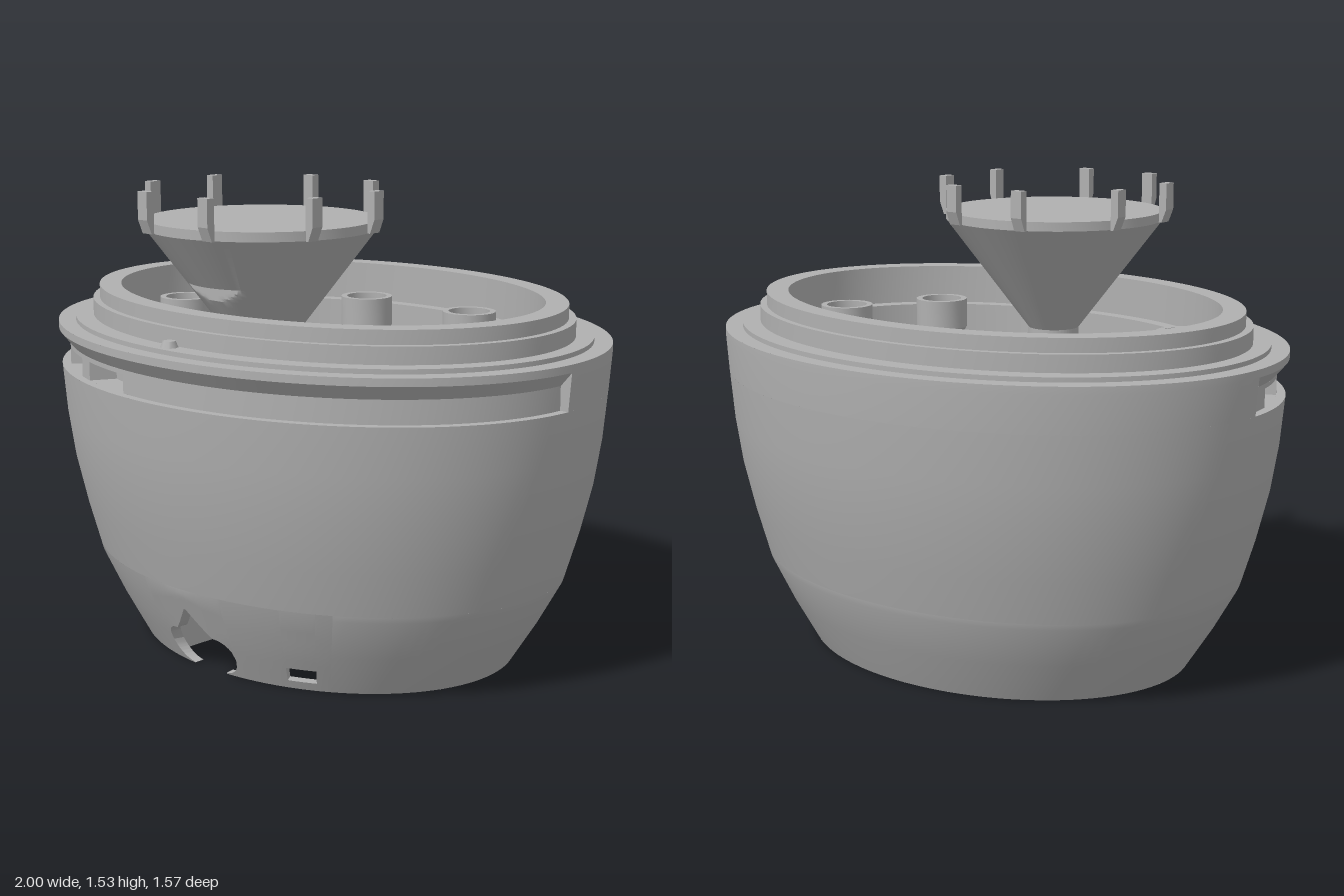
import * as THREE from 'three';
import { toCreasedNormals } from 'three/addons/utils/BufferGeometryUtils.js';

const grey = new THREE.MeshStandardMaterial({ color: 0xb0b0b0, side: THREE.DoubleSide });
grey.name = 'grey plastic';

// bowl section: height, x radius, z radius
const BOWL = [[0, .69, .54], [.14, .78, .61], [.28, .86, .67], [.3, .867, .674], [.44, .91, .71],
  [.6, .95, .745], [.75, .975, .765], [.91, .99, .778], [1.03, 1, .785], [1.055, 1, .785]];

function radii(y) {
  let i = 0;
  while (i < BOWL.length - 2 && y > BOWL[i + 1][0]) i++;
  const [a, b] = [BOWL[i], BOWL[i + 1]], k = (y - a[0]) / (b[0] - a[0]);
  return [a[1] + (b[1] - a[1]) * k, a[2] + (b[2] - a[2]) * k];
}

// surface from a rule fn(i, j) on an nu by nv grid
function grid(nu, nv, fn) {
  const pos = [], idx = [];
  for (let j = 0; j <= nv; j++) for (let i = 0; i <= nu; i++) pos.push(...fn(i, j));
  for (let j = 0; j < nv; j++) for (let i = 0; i < nu; i++) {
    const a = j * (nu + 1) + i, b = a + nu + 1;
    idx.push(a, a + 1, b + 1, a, b + 1, b);
  }
  const g = new THREE.BufferGeometry();
  g.setAttribute('position', new THREE.Float32BufferAttribute(pos, 3));
  g.setIndex(idx);
  return toCreasedNormals(g, .5);
}

// sweep a [y, rx, rz] profile round the ellipse; angle 0 is the front
function band(profile, a0 = 0, a1 = Math.PI * 2) {
  const n = Math.max(4, Math.ceil((a1 - a0) * 18));
  return grid(n, profile.length - 1, (i, j) => {
    const t = a0 + (a1 - a0) * i / n, [y, rx, rz] = profile[j];
    return [rx * Math.sin(t), y, rz * Math.cos(t)];
  });
}

const quad = (a, b, c, d) => grid(1, 1, (i, j) => (j ? [d, c] : [a, b])[i]);

// flat polygon of [x, z] points at height y
function slab(points, y, holes = []) {
  const s = new THREE.Shape(points.map(p => new THREE.Vector2(p[0], p[1])));
  for (const [x, z, r] of holes) s.holes.push(new THREE.Path().absarc(x, z, r, 0, Math.PI * 2, true));
  return new THREE.ShapeGeometry(s, 20).rotateX(Math.PI / 2).translate(0, y, 0);
}

export function createModel() {
  const model = new THREE.Group();
  const add = (name, geo, x = 0, y = 0, z = 0, parent = model) => {
    const m = new THREE.Mesh(geo, grey);
    m.name = name;
    m.position.set(x, y, z);
    parent.add(m);
    return m;
  };
  const H = Math.PI / 2;

  // bowl shell
  const edge = Math.asin(.45 / .73);
  add('lowerShell', band(BOWL.slice(0, 4), edge, Math.PI * 2 - edge));
  add('middleShell', band(BOWL.slice(3, 8)));
  add('upperBackShell', band(BOWL.slice(7), H, 3 * H));

  // front groove with a row of vents on one side
  add('grooveFloor', band([[.91, .99, .778], [.91, .96, .75]], -H, H));
  add('grooveTop', band([[.985, .96, .75], [1.03, 1, .785], [1.055, 1, .785]], -H, H));
  const wall = [[.91, .96, .75], [.985, .96, .75]];
  const pocket = [[.91, .96, .75], [.91, .86, .665], [.97, .86, .665], [.97, .96, .75], [.985, .96, .75]];
  let from = -H;
  for (let k = 3; k >= 0; k--) {
    const a = -.42 - .33 * k, b = a + .25;
    add('grooveWall', band(wall, from, a));
    add('vent', band(pocket, a, b));
    for (const t of [a, b]) {
      add('ventSide', quad(...pocket.slice(0, 4).map(p => [p[1] * Math.sin(t), p[0], p[2] * Math.cos(t)])));
    }
    from = b;
  }
  add('grooveWall', band(wall, from, H));
  for (const s of [-1, 1]) {
    add('grooveEnd', quad([s * .99, .91, 0], [s * .96, .91, 0], [s * .96, .985, 0], [s, 1.03, 0]));
  }

  // stepped rim and inner wall
  add('rim', band([[1.055, 1, .785], [1.055, .94, .73], [1.07, .94, .73], [1.07, .885, .665],
    [1.125, .885, .665], [1.125, .86, .645], [1.17, .86, .645], [1.17, .785, .575],
    [1.04, .785, .575], [1.04, .73, .53], [.32, .715, .515]]));
  add('rimStud', new THREE.CylinderGeometry(.02, .032, .03, 8), 0, 1.075, .69);
  add('innerFloor', new THREE.CircleGeometry(1, 72).rotateX(-H).scale(.715, 1, .515), 0, .32, 0);
  add('floorRib', new THREE.BoxGeometry(1.38, .06, .035), 0, .35, 0);
  add('floorRib', new THREE.BoxGeometry(.035, .06, 1), 0, .35, 0);

  // front panel with a pointed opening and a cable slot
  const surf = (u, y, s) => {
    const [rx, rz] = radii(y), t = Math.asin(u / .73);
    return [s * rx * Math.sin(t), y, s * rz * Math.cos(t)];
  };
  const lobe = a => Math.sqrt(Math.max(0, .065 ** 2 - (a - .08) ** 2));
  const upper = u => {
    const a = Math.abs(u);
    return a < .08 ? .135 + .095 * (1 - a / .08) ** 1.2 : .07 + lobe(a);
  };
  const lower = u => Math.max(0, .07 - lobe(Math.abs(u)));
  const at = y => () => y;
  const strips = [[-.45, -.145, at(0), at(.3)], [-.145, .145, upper, at(.3)],
    [-.145, -.08, at(0), lower], [.08, .145, at(0), lower], [.145, .32, at(0), at(.3)],
    [.32, .41, at(0), at(.03)], [.32, .41, at(.08), at(.3)], [.41, .45, at(0), at(.3)]];
  for (const s of [1, .94]) for (const [u0, u1, lo, hi] of strips) {
    const n = Math.ceil((u1 - u0) * 140);
    add(s === 1 ? 'frontPanel' : 'frontPanelInside', grid(n, 6, (i, j) => {
      const u = u0 + (u1 - u0) * i / n, y0 = lo(u);
      return surf(u, y0 + (hi(u) - y0) * j / 6, s);
    }));
  }
  // wall thickness round the openings
  for (const [u0, u1, fn] of [[-.145, .145, upper], [-.145, -.08, lower], [.08, .145, lower],
    [.32, .41, at(.03)], [.32, .41, at(.08)]]) {
    add('openingEdge', grid(40, 1, (i, j) => {
      const u = u0 + (u1 - u0) * i / 40;
      return surf(u, fn(u), j ? .94 : 1);
    }));
  }
  for (const u of [.32, .41]) {
    add('slotSide', quad(surf(u, .03, 1), surf(u, .03, .94), surf(u, .08, .94), surf(u, .08, 1)));
  }

  // underside: base plate, stepped cavity and foot wells
  const lip = (x, y) => {
    const [rx, rz] = radii(y);
    return .94 * rz * Math.sqrt(1 - (x / (.94 * rx)) ** 2);
  };
  const arc = (x0, x1, y) => Array.from({ length: 9 }, (_, i) => {
    const x = x0 + (x1 - x0) * i / 8;
    return [x, lip(x, y)];
  });
  const steps = [[-.2, .33], [-.35, .33], [-.35, -.17], [.34, -.17], [.34, .24], [.39, .24]];
  const t0 = Math.asin(.08 / .73), outline = [];
  for (let i = 0; i <= 80; i++) {
    const t = t0 + (Math.PI * 2 - 2 * t0) * i / 80;
    outline.push([.69 * Math.sin(t), .54 * Math.cos(t)]);
  }
  const feet = [];
  for (const s of [-1, 1]) feet.push([s * .36, -.265, .07], [s * .468, .1, .07]);
  add('basePlate', slab([...outline, ...arc(-.075, -.2, 0), ...steps, ...arc(.39, .075, 0)], 0, feet));
  add('cavityCeiling', slab([...steps, ...arc(.39, -.2, .29)], .29));
  const low = [[-.2, lip(-.2, 0)], ...steps, [.39, lip(.39, 0)]];
  const high = [[-.2, lip(-.2, .29)], ...steps, [.39, lip(.39, .29)]];
  for (let i = 0; i < low.length - 1; i++) {
    const p = (q, y) => [q[0], y, q[1]];
    add('cavityWall', quad(p(low[i], 0), p(low[i + 1], 0), p(high[i + 1], .29), p(high[i], .29)));
  }
  for (const [x, z, r] of feet) {
    add('footWell', new THREE.CylinderGeometry(r, r, .05, 28, 1, true), x, .025, z);
    add('footWellTop', new THREE.CircleGeometry(r, 28).rotateX(H), x, .05, z);
  }

  // small cups round the opening, each with a pointed underside
  const cup = [[0, .82], [.09, .97], [.09, 1.07], [.07, 1.07], [.07, 1.03], [0, 1.03]];
  for (const s of [-1, 1]) {
    for (const [x, z] of [[.235, -.45], [.575, -.255], [.69, 0], [.518, .31]]) {
      const g = new THREE.LatheGeometry(cup.map(p => new THREE.Vector2(...p)), 28);
      add('cup', toCreasedNormals(g, .5), s * x, 0, z);
    }
  }

  // funnel on a post, with a flat notch cut in its front
  const funnel = new THREE.Group();
  funnel.name = 'funnel';
  funnel.position.z = .295;
  model.add(funnel);
  const pts = [[.085, .32], [.085, 1.03]];
  for (const y of [1.1, 1.17, 1.19, 1.2, 1.21, 1.22, 1.235]) pts.push([.085 + (y - 1.03) * .756, y]);
  const cut = pts.length;
  pts.push([.24, 1.235], [.365, 1.4], [.365, 1.43], [0, 1.43]);
  const cone = new THREE.LatheGeometry(pts.map(p => new THREE.Vector2(...p)), 96);
  const cp = cone.attributes.position;
  for (let i = 0; i < cp.count; i++) {
    if (i % pts.length < cut) cp.setZ(i, Math.min(cp.getZ(i), .205));
  }
  add('funnelBody', toCreasedNormals(cone, .5), 0, 0, 0, funnel);

  // prongs taper towards the plate edge
  for (const sx of [-1, 1]) for (const sz of [-1, 1]) for (const side of [true, false]) {
    const g = new THREE.BoxGeometry(.028, .13, .042, 1, 3, 1), p = g.attributes.position;
    for (let i = 0; i < p.count; i++) {
      if (p.getY(i) < -.03 && p.getX(i) > 0) p.setX(i, p.getY(i) < -.05 ? -.004 : .006);
    }
    g.rotateY(side ? (sx > 0 ? 0 : Math.PI) : -sz * H);
    const [x, z] = side ? [.361, .135] : [.135, .361];
    add('prong', toCreasedNormals(g, .3), sx * x, 1.465, sz * z, funnel);
  }
  return model;
}
